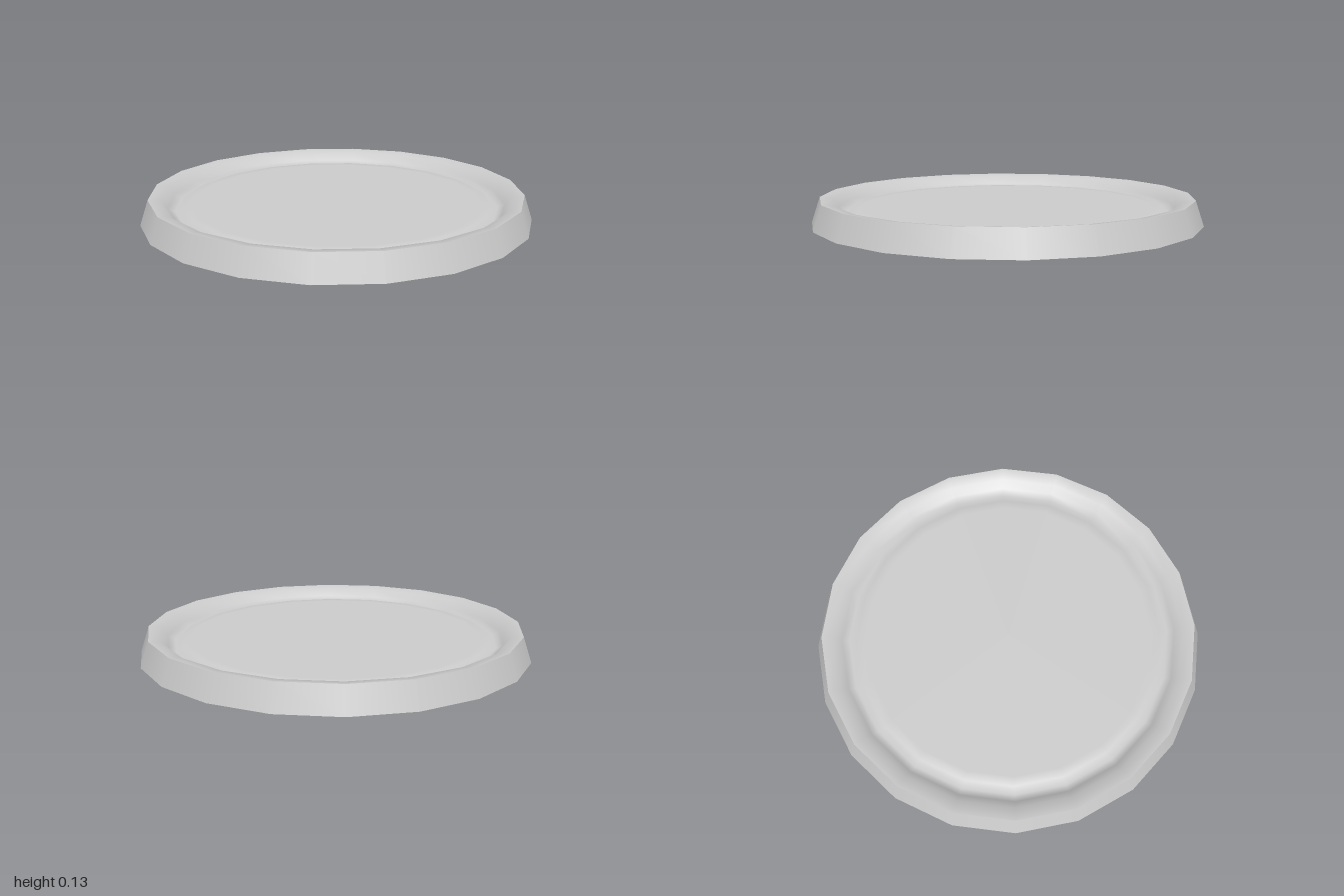
import * as THREE from 'three';

const SIDES = 20;

export function createModel() {
  const group = new THREE.Group();
  group.name = 'dish';
  const material = new THREE.MeshStandardMaterial({ color: 0xcccccc });

  // Each profile runs as [radius, height]; separate lathes keep the edges between them sharp
  const addLathe = (name, profile) => {
    const points = profile.map(([r, y]) => new THREE.Vector2(r, y));
    const mesh = new THREE.Mesh(new THREE.LatheGeometry(points, SIDES), material);
    mesh.name = name;
    group.add(mesh);
  };

  // Flat underside
  addLathe('underside', [[0, 0], [1, 0]]);

  // Sloping outer wall
  addLathe('outerWall', [[1, 0], [0.957, 0.128]]);

  // Rim lip rolling into a shallow groove around the raised floor
  addLathe('dishedTop', [
    [0.957, 0.128], [0.895, 0.118], [0.86, 0.078], [0.825, 0.058],
    [0.785, 0.077], [0.74, 0.077], [0, 0.077],
  ]);

  return group;
}
